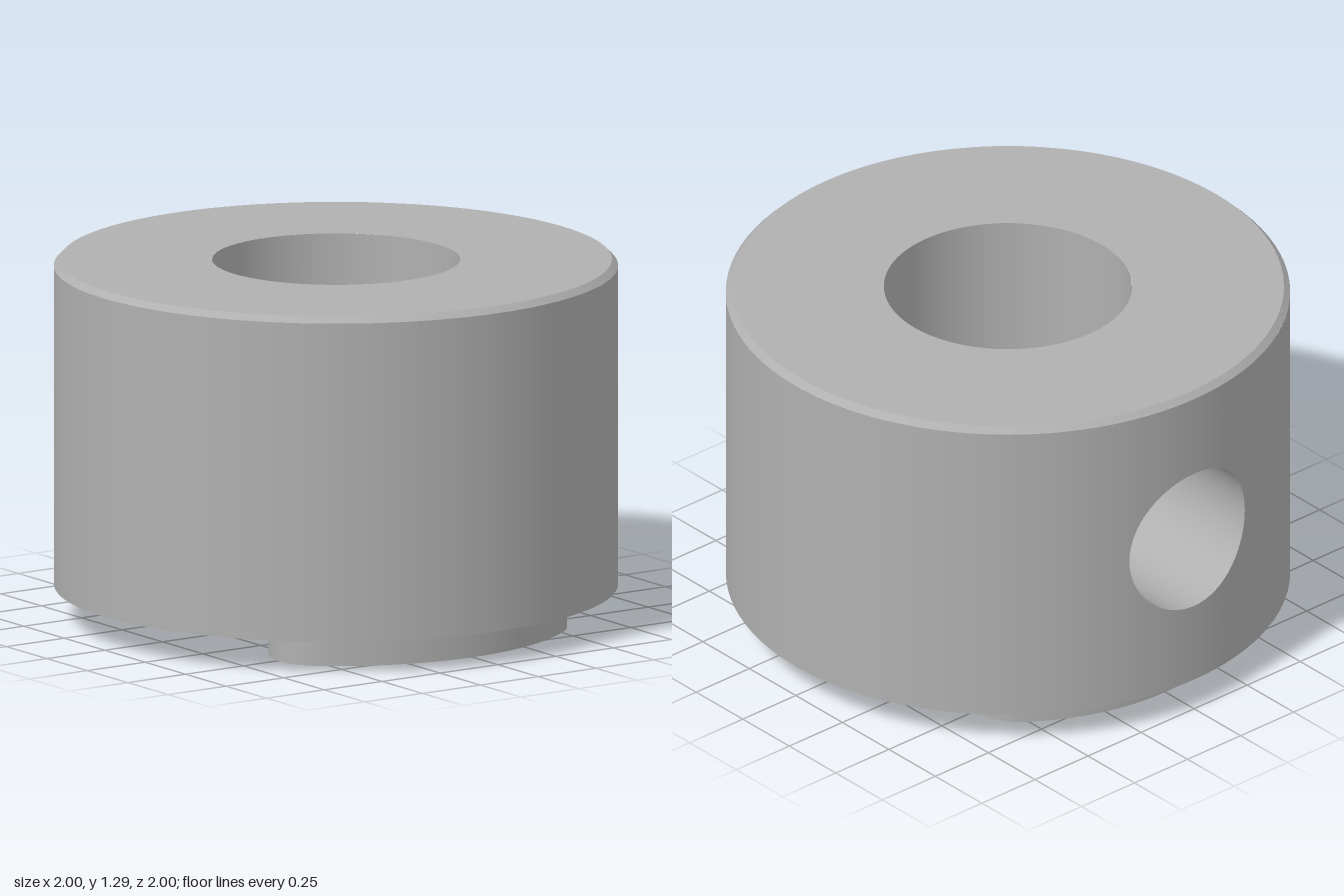
import * as THREE from 'three';
import { mergeGeometries, toCreasedNormals } from 'three/addons/utils/BufferGeometryUtils.js';

const R = 1, BORE = 0.44, HOLE = 0.265;            // body, counterbore and through-hole radii
const BASE = 0.12, TOP = 1.295, CHAMFER = 0.022;
const FLOOR = 0.415, STEP = 0.02;                  // counterbore floor and its two shallow steps
const SIDE_R = 0.272, SIDE_Y = 0.695;              // radial hole in the back
const SEG = 96;

// One revolved band between two profile points
function band(r0, y0, r1, y1, start = 0, length = Math.PI * 2) {
  const g = new THREE.LatheGeometry([new THREE.Vector2(r0, y0), new THREE.Vector2(r1, y1)], SEG, start, length);
  g.deleteAttribute('uv');
  return g;
}

// Grid surface; fn(phi, t) returns [x, y, z, nx, ny, nz]
function grid(nu, nv, flip, fn) {
  const pos = [], nor = [], idx = [];
  for (let j = 0; j <= nv; j++) for (let i = 0; i <= nu; i++) {
    const v = fn(i / nu * Math.PI * 2, j / nv);
    pos.push(v[0], v[1], v[2]);
    nor.push(v[3], v[4], v[5]);
    if (i < nu && j < nv) {
      const a = j * (nu + 1) + i, b = a + 1, d = a + nu + 1, c = d + 1;
      if (flip) idx.push(a, d, b, c, b, d);
      else idx.push(a, b, d, c, d, b);
    }
  }
  const g = new THREE.BufferGeometry();
  g.setAttribute('position', new THREE.Float32BufferAttribute(pos, 3));
  g.setAttribute('normal', new THREE.Float32BufferAttribute(nor, 3));
  g.setIndex(idx);
  return g;
}

// Cylinder wall pierced by the radial hole: a plain sector plus a patch around the hole
function piercedWall(r, y0, y1, half, inward) {
  const s = inward ? -1 : 1;
  const patch = grid(64, 10, inward, (phi, t) => {
    const c = Math.cos(phi), n = Math.sin(phi), m = Math.max(Math.abs(c), Math.abs(n));
    const v = n / m;
    const yEdge = SIDE_Y + v * (v > 0 ? y1 - SIDE_Y : SIDE_Y - y0);
    const th = THREE.MathUtils.lerp(Math.asin(SIDE_R * c / r), c / m * half, t);
    const y = THREE.MathUtils.lerp(SIDE_Y + SIDE_R * n, yEdge, t);
    const x = Math.sin(th), z = -Math.cos(th);
    return [r * x, y, r * z, s * x, 0, s * z];
  });
  const [a, b] = inward ? [y1, y0] : [y0, y1];
  return mergeGeometries([band(r, a, r, b, Math.PI + half, 2 * (Math.PI - half)), patch]);
}

// Flat shape extruded upward from y
function plate(shape, y, height) {
  const g = new THREE.ExtrudeGeometry(shape, { depth: height, bevelEnabled: false, curveSegments: 40 });
  g.rotateX(Math.PI / 2).translate(0, y + height, 0);
  return toCreasedNormals(g, 0.6);
}

export function createModel() {
  const model = new THREE.Group();
  model.name = 'collar';
  const grey = new THREE.MeshStandardMaterial({ color: 0xb0b0b0 });
  grey.name = 'grey';
  const add = (name, geometry) => {
    const mesh = new THREE.Mesh(geometry, grey);
    mesh.name = name;
    model.add(mesh);
    return mesh;
  };

  // Outer body
  add('outerWall', piercedWall(R, BASE, TOP - CHAMFER, 0.5, false));
  add('topChamfer', band(R, TOP - CHAMFER, R - CHAMFER, TOP));
  add('topFace', band(R - CHAMFER, TOP, BORE, TOP));
  add('underside', band(HOLE, BASE, R, BASE));

  // Counterbore and through hole
  add('boreWall', piercedWall(BORE, FLOOR, TOP, 1.0, true));
  add('throughHole', band(HOLE, FLOOR - 2 * STEP, HOLE, BASE));
  add('holeLedge', band(BORE, FLOOR - 2 * STEP, HOLE, FLOOR - 2 * STEP));

  // Square step below the slot step
  const square = new THREE.Shape().absarc(0, 0, BORE, 0, Math.PI * 2);
  square.holes.push(new THREE.Path([[-1, -1], [-1, 1], [1, 1], [1, -1]]
    .map(([x, y]) => new THREE.Vector2(x * HOLE, y * HOLE))));
  add('squareStep', plate(square, FLOOR - 2 * STEP, STEP));

  // Slot step: a circle segment on each side
  const a = Math.acos(HOLE / BORE);
  const segment = new THREE.Shape().absarc(0, 0, BORE, -a, a);
  segment.closePath();
  for (const side of [0, 1]) {
    add(side ? 'slotStepRight' : 'slotStepLeft', plate(segment, FLOOR - STEP, STEP)).rotation.y = side * Math.PI;
  }

  // Radial hole from the back into the bore
  add('sideHole', grid(64, 1, true, (phi, t) => {
    const c = Math.cos(phi), n = Math.sin(phi), x = SIDE_R * c, r = t ? BORE : R;
    return [x, SIDE_Y + SIDE_R * n, -Math.sqrt(r * r - x * x), -c, -n, 0];
  }));

  // Curved feet with rounded ends
  const mid = 0.645, w = 0.2, s = Math.PI / 2 - 0.67, e = Math.PI / 2 + 0.67;
  const foot = new THREE.Shape();
  foot.absarc(0, 0, mid + w, s, e);
  foot.absarc(mid * Math.cos(e), mid * Math.sin(e), w, e, e + Math.PI);
  foot.absarc(0, 0, mid - w, e, s, true);
  foot.absarc(mid * Math.cos(s), mid * Math.sin(s), w, s + Math.PI, s + Math.PI * 2);
  for (const side of [0, 1]) {
    add(side ? 'backFoot' : 'frontFoot', plate(foot, 0, BASE)).rotation.y = side * Math.PI;
  }
  return model;
}
